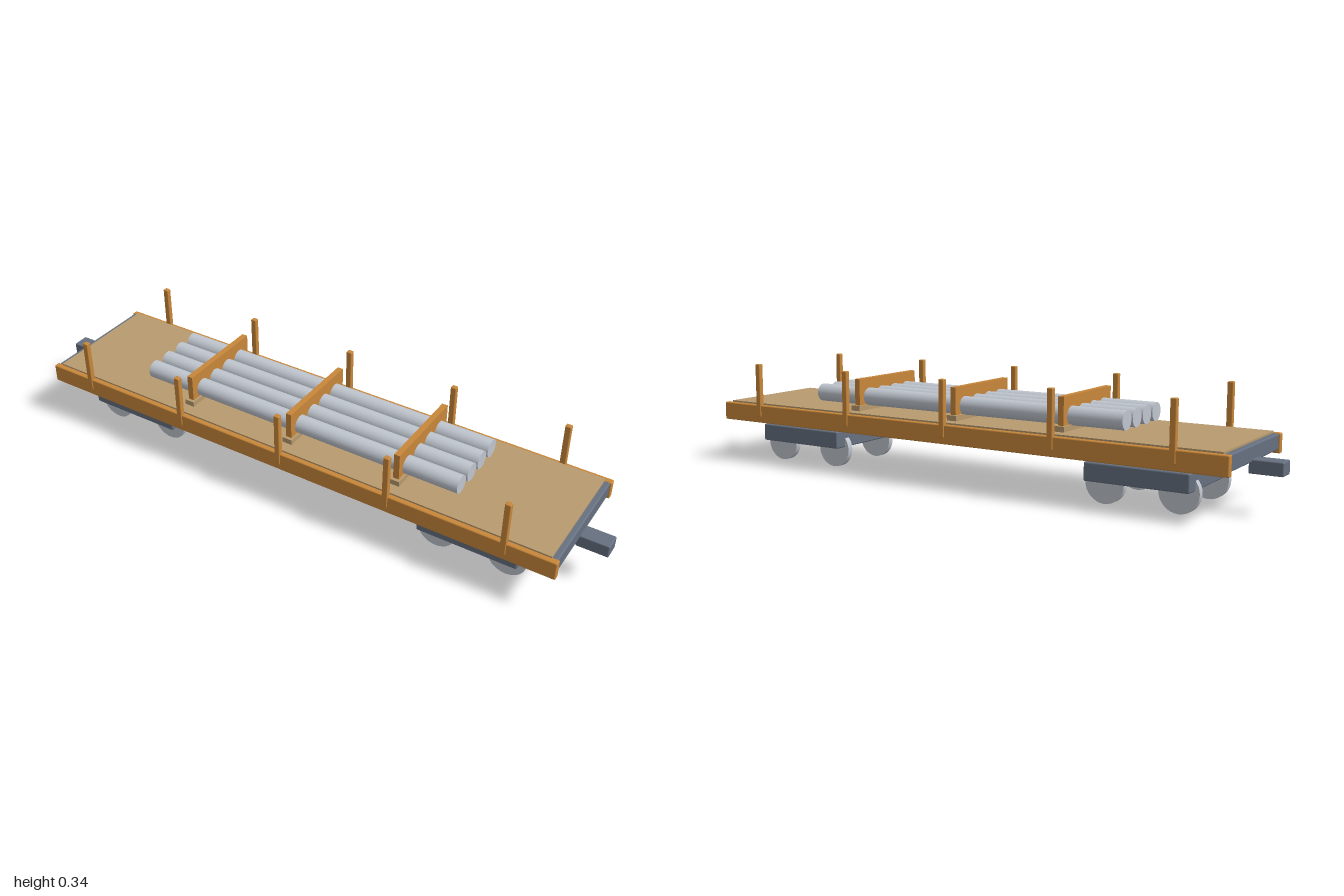
import * as THREE from 'three';
import { RoundedBoxGeometry } from 'three/addons/geometries/RoundedBoxGeometry.js';

const mat = (name, color) => {
  const m = new THREE.MeshStandardMaterial({ color });
  m.name = name;
  return m;
};

export function createModel() {
  const model = new THREE.Group();
  model.name = 'flatWagon';
  const timber = mat('orangeTimber', 0xc8873a);
  const planks = mat('tanPlanks', 0xb89a6e);
  const slate = mat('slateSteel', 0x667080);
  const metal = mat('paleMetal', 0xc0c6cf);

  const add = (name, geometry, material, x, y, z, parent = model) => {
    const mesh = new THREE.Mesh(geometry, material);
    mesh.name = name;
    mesh.position.set(x, y, z);
    parent.add(mesh);
    return mesh;
  };
  // Box given by its vertical span, with optional softened edges
  const box = (name, material, w, d, y0, y1, x, z, r = 0, parent = model) => {
    const h = y1 - y0;
    const g = r ? new RoundedBoxGeometry(w, h, d, 2, r) : new THREE.BoxGeometry(w, h, d);
    return add(name, g, material, x, (y0 + y1) / 2, z, parent);
  };

  // Steel underframe and plank deck
  box('underframe', slate, 1.82, 0.4, 0.15, 0.199, 0, 0, 0.005);
  box('deck', planks, 1.785, 0.4, 0.197, 0.205, 0, 0);

  // Side beams with upright stakes
  for (const s of [1, -1]) {
    box('sideBeam', timber, 1.83, 0.021, 0.14, 0.2, 0, s * 0.2055, 0.004);
    for (const x of [-0.755, -0.3775, 0, 0.3775, 0.755]) {
      box('stake', timber, 0.019, 0.017, 0.16, 0.34, x, s * 0.2105, 0.003);
    }
  }

  // Couplers and wheel trucks at both ends
  const wheelGeometry = new THREE.CylinderGeometry(0.062, 0.062, 0.02, 32).rotateX(Math.PI / 2);
  for (const s of [1, -1]) {
    box('coupler', slate, 0.1, 0.055, 0.118, 0.159, s * 0.95, 0, 0.004);
    const truck = new THREE.Group();
    truck.name = 'truck';
    truck.position.x = s * 0.622;
    model.add(truck);
    box('truckFrame', slate, 0.326, 0.326, 0.07, 0.127, 0, 0, 0.005, truck);
    for (const x of [-0.115, 0.115]) {
      for (const z of [-0.111, 0.111]) add('wheel', wheelGeometry, metal, x, 0.062, z, truck);
    }
  }

  // Pipe load
  const pipeGeometry = new THREE.CylinderGeometry(0.029, 0.029, 1.13, 32).rotateZ(Math.PI / 2);
  for (let i = 0; i < 4; i++) add('pipe', pipeGeometry, metal, 0, 0.247, (i - 1.5) * 0.0675);

  // Cradles holding the pipes
  for (const x of [-0.3775, 0, 0.3775]) {
    box('cradleBase', planks, 0.034, 0.324, 0.204, 0.222, x, 0);
    box('cradlePlate', timber, 0.019, 0.303, 0.222, 0.308, x, 0);
  }
  return model;
}
